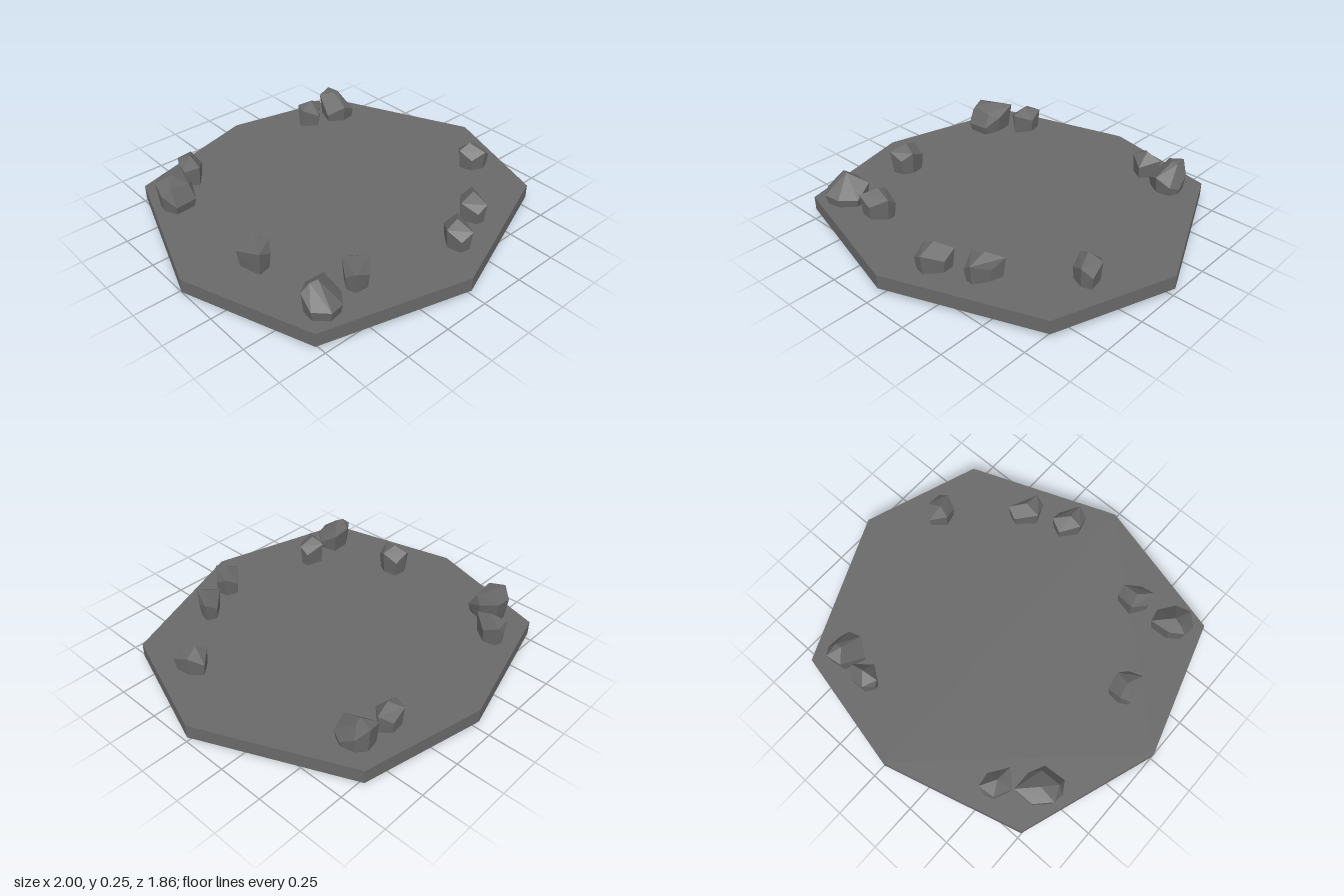
import * as THREE from 'three';
import { ConvexGeometry } from 'three/addons/geometries/ConvexGeometry.js';

const TOP = 0.11, THICK = 0.075, DROOP = 0.035;

// Corners of the slab (x, z), counter-clockwise seen from above, and the triangles of its faces
const RIM = [[1, -0.01], [0.645, -0.79], [-0.01, -0.93], [-0.75, -0.725],
  [-1, 0.01], [-0.78, 0.72], [-0.01, 0.925], [0.78, 0.62]];
const FACES = [[2, 3, 4], [4, 5, 6], [2, 4, 6], [2, 6, 7], [2, 7, 0], [0, 1, 2]];

// Eight-sided slab with one sagging corner, evenly shaded above and below
function slabGeometry() {
  const top = RIM.map(([x, z]) => new THREE.Vector3(x, x === -1 ? TOP - DROOP : TOP, z));
  const low = top.map((p) => new THREE.Vector3(p.x, p.y - THICK, p.z));
  const pos = [], nor = [];
  const tri = (a, b, c, n) => [a, b, c].forEach((p) => {
    pos.push(p.x, p.y, p.z);
    nor.push(n.x, n.y, n.z);
  });
  const up = new THREE.Vector3(0, 1, 0), down = new THREE.Vector3(0, -1, 0);
  FACES.forEach(([a, b, c]) => {
    tri(top[a], top[b], top[c], up);
    tri(low[a], low[c], low[b], down);
  });
  top.forEach((a, i) => {
    const j = (i + 1) % top.length;
    const side = new THREE.Vector3(a.z - top[j].z, 0, top[j].x - a.x).normalize().negate();
    tri(a, low[i], low[j], side);
    tri(a, low[j], top[j], side);
  });
  const geo = new THREE.BufferGeometry();
  geo.setAttribute('position', new THREE.Float32BufferAttribute(pos, 3));
  geo.setAttribute('normal', new THREE.Float32BufferAttribute(nor, 3));
  return geo;
}

// Faceted rock: shoulder corners (x, z, height), a narrower foot sunk in the slab, and top corners
function rockGeometry(shoulder, tops) {
  const n = shoulder.length;
  const cx = shoulder.reduce((s, p) => s + p[0], 0) / n;
  const cz = shoulder.reduce((s, p) => s + p[1], 0) / n;
  const foot = shoulder.map(([x, z]) =>
    new THREE.Vector3(cx + (x - cx) * 0.84, TOP - 0.04, cz + (z - cz) * 0.84));
  const upper = [...shoulder, ...tops].map(([x, z, y]) => new THREE.Vector3(x, y, z));
  return new ConvexGeometry([...foot, ...upper]);
}

export function createModel() {
  const group = new THREE.Group();
  const stone = new THREE.MeshStandardMaterial({ color: 0x696969 });

  const add = (name, geo) => {
    const mesh = new THREE.Mesh(geo, stone);
    mesh.name = name;
    group.add(mesh);
  };
  const boulder = (name, tops, shoulder) => add(name, rockGeometry(shoulder, tops));
  // Small rocks have a single peak and shoulder corners that alternate in height
  const rock = (name, peak, outline) =>
    add(name, rockGeometry(outline.map(([x, z], i) => [x, z, i % 2 ? 0.215 : 0.175]), [peak]));

  add('slab', slabGeometry());

  // Large boulders
  boulder('boulderBackRight', [[-0.69, -0.52, 0.255], [-0.75, -0.45, 0.235], [-0.64, -0.45, 0.215]],
    [[-0.785, -0.53, 0.24], [-0.71, -0.605, 0.22], [-0.6, -0.61, 0.24], [-0.595, -0.5, 0.19],
      [-0.63, -0.41, 0.14], [-0.75, -0.4, 0.14], [-0.79, -0.47, 0.19]]);
  boulder('boulderBackLeft', [[0.525, -0.655, 0.255], [0.56, -0.66, 0.25]],
    [[0.47, -0.72, 0.23], [0.55, -0.735, 0.25], [0.6, -0.69, 0.19], [0.615, -0.61, 0.14],
      [0.59, -0.555, 0.16], [0.51, -0.54, 0.2], [0.43, -0.6, 0.15]]);
  boulder('boulderFrontRight', [[-0.65, 0.59, 0.255], [-0.69, 0.58, 0.25]],
    [[-0.735, 0.57, 0.21], [-0.67, 0.525, 0.21], [-0.56, 0.52, 0.2], [-0.54, 0.615, 0.14],
      [-0.6, 0.695, 0.15], [-0.68, 0.715, 0.16], [-0.745, 0.65, 0.16]]);

  // Small rocks along the rim
  rock('rockBackRight', [-0.51, -0.63, 0.245],
    [[-0.5, -0.72], [-0.46, -0.71], [-0.445, -0.63], [-0.515, -0.54], [-0.59, -0.61], [-0.55, -0.7]]);
  rock('rockBackLeft', [0.36, -0.67, 0.25],
    [[0.275, -0.68], [0.31, -0.73], [0.39, -0.735], [0.44, -0.68], [0.36, -0.6], [0.28, -0.655]]);
  rock('rockRight', [-0.68, 0.16, 0.245],
    [[-0.75, 0.115], [-0.7, 0.085], [-0.62, 0.095], [-0.605, 0.18], [-0.64, 0.235], [-0.715, 0.25]]);
  rock('rockFrontRight', [-0.42, 0.57, 0.248],
    [[-0.495, 0.59], [-0.44, 0.505], [-0.335, 0.53], [-0.33, 0.58], [-0.4, 0.65], [-0.48, 0.645]]);
  rock('rockFront', [0.13, 0.69, 0.248],
    [[0.135, 0.605], [0.205, 0.63], [0.21, 0.7], [0.14, 0.785], [0.08, 0.77], [0.06, 0.69]]);
  rock('rockFrontLeft', [0.36, 0.59, 0.25],
    [[0.37, 0.505], [0.43, 0.525], [0.41, 0.6], [0.36, 0.685], [0.31, 0.675], [0.275, 0.59]]);
  rock('rockLeft', [0.7, 0.27, 0.248],
    [[0.715, 0.19], [0.77, 0.25], [0.785, 0.34], [0.73, 0.36], [0.66, 0.33], [0.64, 0.255]]);

  return group;
}
